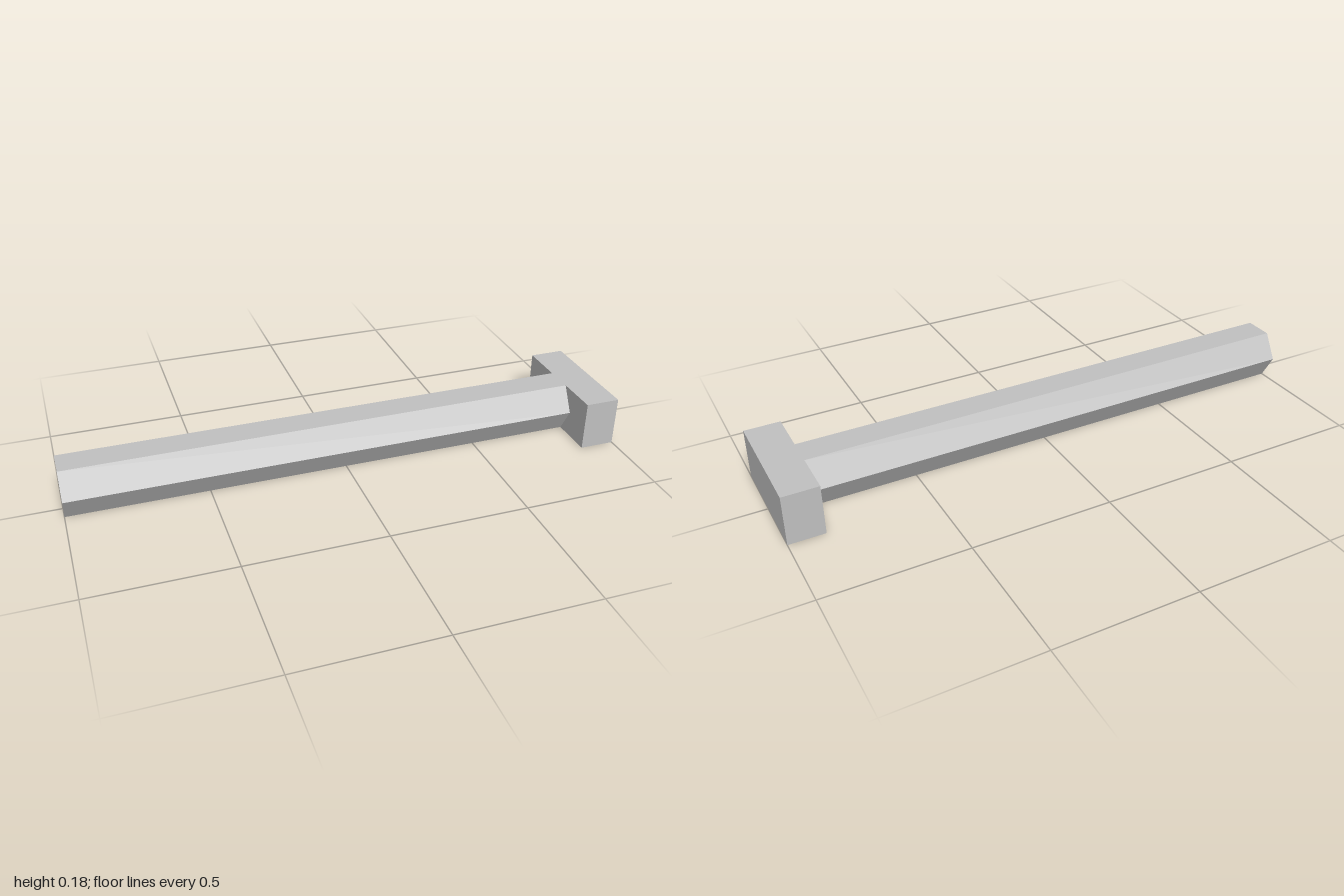
import * as THREE from 'three';

export function createModel() {
  const model = new THREE.Group();
  const steel = new THREE.MeshStandardMaterial({ color: 0xc0c0c0, flatShading: true });
  steel.name = 'steel grey';

  const radius = 0.105;                          // hexagon corner radius
  const height = radius * Math.sqrt(3);          // across flats
  const headStart = 0.873;

  function add(name, geometry, x) {
    const mesh = new THREE.Mesh(geometry, steel);
    mesh.name = name;
    mesh.position.set(x, height / 2, 0);
    model.add(mesh);
  }

  // Hexagonal shaft along x, flats at top and bottom
  const shaft = new THREE.CylinderGeometry(radius, radius, headStart + 1, 6);
  shaft.rotateZ(-Math.PI / 2);
  add('shaft', shaft, (headStart - 1) / 2);

  // Rectangular crosswise head
  add('head', new THREE.BoxGeometry(1 - headStart, height, 0.428), (1 + headStart) / 2);

  return model;
}
